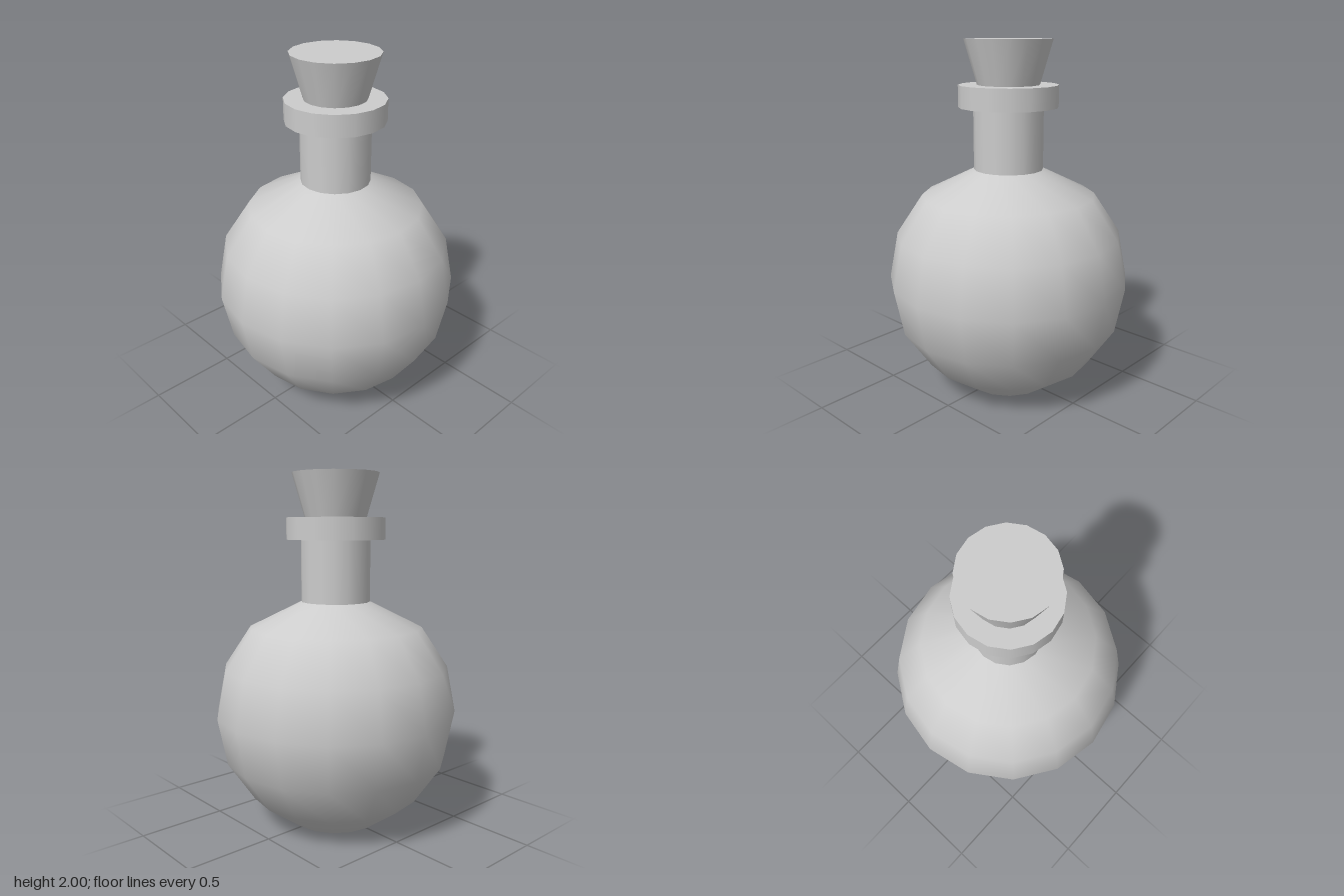
import * as THREE from 'three';

const SIDES = 16;

export function createModel() {
  const group = new THREE.Group();
  group.name = 'flask';
  const grey = new THREE.MeshStandardMaterial({ color: 0xcccccc });
  grey.name = 'light grey';

  const add = (name, geometry, y = 0) => {
    const mesh = new THREE.Mesh(geometry, grey);
    mesh.name = name;
    mesh.position.y = y;
    group.add(mesh);
    return mesh;
  };

  // Upright cylinder or cone section between two heights
  const drum = (name, bottomRadius, topRadius, y0, y1, open = false) =>
    add(name, new THREE.CylinderGeometry(topRadius, bottomRadius, y1 - y0, SIDES, 1, open), (y0 + y1) / 2);

  // Round body: rings of a sphere, cut flat below and drawn in to the neck above
  const profile = [
    [0.265, 0.005], [0.49, 0.17], [0.64, 0.392], [0.692, 0.657],
    [0.64, 0.922], [0.49, 1.147], [0.195, 1.292],
  ].map(([r, y]) => new THREE.Vector2(r, y));
  add('body', new THREE.LatheGeometry(profile, SIDES));

  // Flat underside
  const base = add('base', new THREE.CircleGeometry(0.265, SIDES), 0.005);
  base.rotation.x = Math.PI / 2;

  // Neck, lip and flared stopper
  drum('neck', 0.195, 0.195, 1.292, 1.637, true);
  drum('lip', 0.277, 0.277, 1.637, 1.758);
  drum('stopper', 0.173, 0.243, 1.758, 2);

  return group;
}
